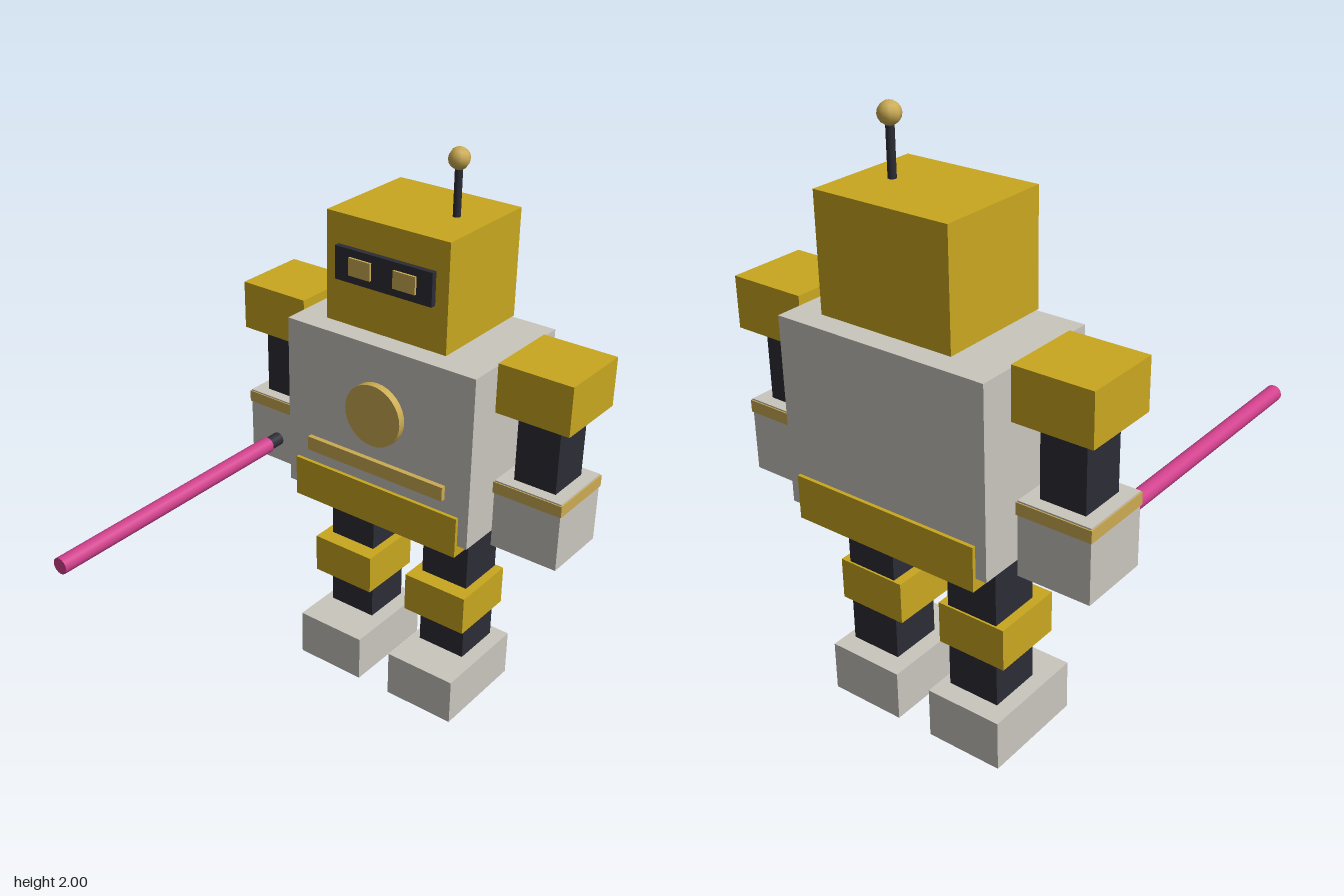
import * as THREE from 'three';

const makeMaterial = (name, color) => {
  const m = new THREE.MeshStandardMaterial({ color });
  m.name = name;
  return m;
};

export function createModel() {
  const gold = makeMaterial('gold', 0xc9a71f);
  const brass = makeMaterial('pale brass', 0xcbab52);
  const grey = makeMaterial('warm grey', 0xcac6be);
  const dark = makeMaterial('charcoal', 0x2c2c36);
  const pink = makeMaterial('pink', 0xd0408c);

  const robot = new THREE.Group();
  robot.name = 'robot';

  const add = (parent, name, geometry, material, x, y, z) => {
    const mesh = new THREE.Mesh(geometry, material);
    mesh.name = name;
    mesh.position.set(x, y, z);
    parent.add(mesh);
    return mesh;
  };
  // Box centred on x, given by its width and its y and z ranges
  const box = (parent, name, material, x, width, y0, y1, z0, z1) =>
    add(parent, name, new THREE.BoxGeometry(width, y1 - y0, z1 - z0), material,
      x, (y0 + y1) / 2, (z0 + z1) / 2);
  // Cylinder running along z
  const rodZ = (parent, name, material, x, y, radius, z0, z1, sides) =>
    add(parent, name, new THREE.CylinderGeometry(radius, radius, z1 - z0, sides).rotateX(Math.PI / 2),
      material, x, y, (z0 + z1) / 2);

  // Torso with chest disc and strip
  box(robot, 'torso', grey, 0, 0.75, 0.757, 1.38, -0.706, -0.235);
  box(robot, 'pelvis', gold, 0, 0.674, 0.716, 0.865, -0.718, -0.222);
  rodZ(robot, 'chestDisc', brass, 0, 1.14, 0.111, -0.24, -0.208, 32);
  box(robot, 'chestStrip', brass, 0, 0.56, 0.915, 0.966, -0.24, -0.217);

  // Head with visor, eyes and antenna
  const head = new THREE.Group();
  head.name = 'head';
  robot.add(head);
  box(head, 'skull', gold, 0, 0.474, 1.405, 1.779, -0.668, -0.271);
  box(head, 'visor', dark, 0, 0.378, 1.562, 1.676, -0.28, -0.251);
  for (const s of [-1, 1])
    box(head, 'eye', brass, s * 0.087, 0.086, 1.59, 1.65, -0.26, -0.243);
  add(head, 'antennaRod', new THREE.CylinderGeometry(0.013, 0.013, 0.19, 8), dark, 0.123, 1.865, -0.47);
  add(head, 'antennaTip', new THREE.SphereGeometry(0.036, 8, 8), brass, 0.123, 1.965, -0.47);

  // Arms and legs, one of each per side
  for (const s of [-1, 1]) {
    const side = s > 0 ? 'left' : 'right';
    const arm = new THREE.Group();
    arm.name = side + 'Arm';
    robot.add(arm);
    const ax = s * 0.524;
    box(arm, 'shoulder', gold, ax, 0.268, 1.23, 1.402, -0.606, -0.335);
    box(arm, 'armSegment', dark, ax, 0.155, 0.96, 1.24, -0.55, -0.387);
    box(arm, 'hand', grey, ax, 0.248, 0.73, 0.981, -0.593, -0.345);
    box(arm, 'cuff', brass, ax, 0.256, 0.935, 0.976, -0.597, -0.341);

    const leg = new THREE.Group();
    leg.name = side + 'Leg';
    robot.add(leg);
    const lx = s * 0.202;
    box(leg, 'legSegment', dark, lx, 0.185, 0.19, 0.69, -0.561, -0.376);
    box(leg, 'knee', gold, lx, 0.248, 0.342, 0.488, -0.568, -0.317);
    box(leg, 'foot', grey, lx, 0.272, 0, 0.175, -0.616, -0.243);
  }

  // Glowing rod held in the right hand
  const baton = new THREE.Group();
  baton.name = 'baton';
  robot.add(baton);
  rodZ(baton, 'handle', dark, -0.526, 0.818, 0.024, -0.42, -0.28, 16);
  rodZ(baton, 'blade', pink, -0.526, 0.818, 0.029, -0.285, 0.717, 16);

  return robot;
}
